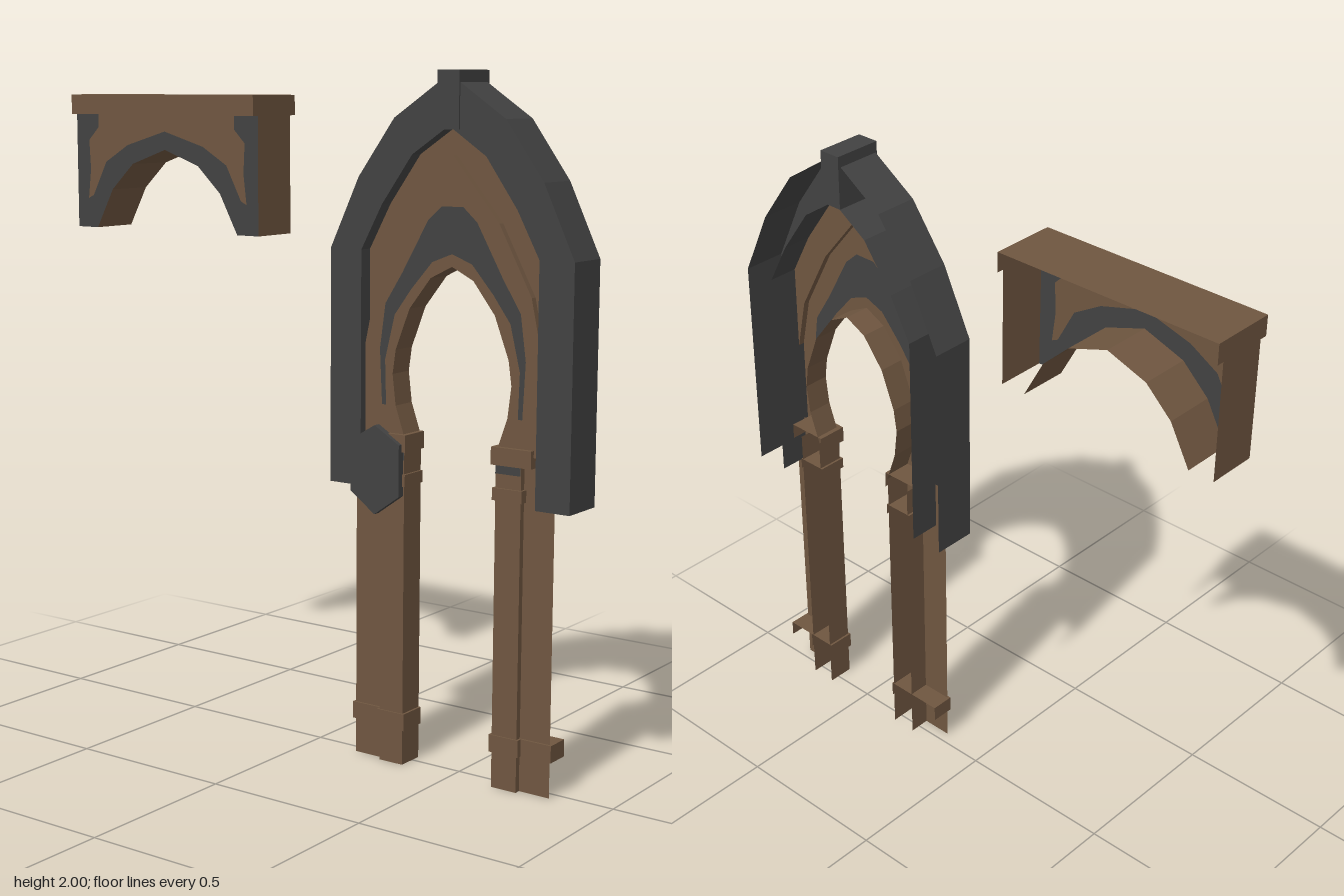
import * as THREE from 'three';

const wood = new THREE.MeshStandardMaterial({ color: 0x6f5640, side: THREE.DoubleSide });
wood.name = 'brown wood';
const iron = new THREE.MeshStandardMaterial({ color: 0x424242, side: THREE.DoubleSide });
iron.name = 'dark grey trim';

const toV = (pts) => pts.map(([x, y]) => new THREE.Vector2(x, y));
// Completes a left half profile (bottom to apex) with its mirror image
const mirror = (half) => {
  const right = half.map(([x, y]) => [-x, y]).reverse();
  return [...half, ...(half[half.length - 1][0] === 0 ? right.slice(1) : right)];
};

function add(group, name, geometry, material) {
  const mesh = new THREE.Mesh(geometry, material);
  mesh.name = name;
  group.add(mesh);
  return mesh;
}

// Flat sheet facing +z, with optional cut-outs
function sheet(group, name, pts, z, material, holes = []) {
  const shape = new THREE.Shape(toV(pts));
  for (const h of holes) shape.holes.push(new THREE.Path(toV(h)));
  return add(group, name, new THREE.ShapeGeometry(shape).translate(0, 0, z), material);
}

// Faceted strip: sweeps a path between two limits of the remaining axis
function strip(group, name, path, from, to, material, upright = false) {
  const at = ([a, b], t) => (upright ? [a, t, b] : [a, b, t]);
  const pos = [];
  for (let i = 0; i < path.length - 1; i++) {
    const [p, q] = [path[i], path[i + 1]];
    const quad = [at(p, from), at(q, from), at(q, to), at(p, to)];
    for (const k of [0, 1, 2, 0, 2, 3]) pos.push(...quad[k]);
  }
  const geo = new THREE.BufferGeometry();
  geo.setAttribute('position', new THREE.Float32BufferAttribute(pos, 3));
  geo.computeVertexNormals();
  return add(group, name, geo, material);
}

// Three-sided band, open at the back, closed by a shelf on top
function band(group, name, x0, x1, y0, y1, front, back) {
  strip(group, name, [[x0, back], [x0, front], [x1, front], [x1, back]], y1, y0, wood, true);
  strip(group, name + 'Shelf', [[x0, y1], [x1, y1]], front, back, wood);
}

function createLintel() {
  const g = new THREE.Group();
  g.name = 'lintel';
  g.position.x = -0.53;
  const Z = 0.077;
  // Cap, open at the back and below
  band(g, 'lintelCap', -0.36, 0.36, 1.87, 1.93, 0.1, -0.1);
  strip(g, 'capLip', [[-0.36, 1.87], [0.36, 1.87]], 0.1, Z, wood);
  // Front board: dark edge around a wooden field
  const arch = mirror([[-0.28, 1.52], [-0.215, 1.64], [-0.13, 1.72], [0, 1.765]]);
  const field = mirror([[-0.27, 1.872], [-0.27, 1.83], [-0.31, 1.79], [-0.305, 1.7], [-0.316, 1.61],
    [-0.295, 1.62], [-0.24, 1.724], [-0.15, 1.777], [0, 1.82]]);
  sheet(g, 'lintelEdge', [[-0.36, 1.875], [-0.36, 1.52], ...arch, [0.36, 1.52], [0.36, 1.875]], Z, iron, [field]);
  sheet(g, 'lintelField', field, Z, wood);
  // Underside of the arch and end walls
  strip(g, 'lintelSoffit', arch, Z, -Z, wood);
  for (const s of [-1, 1]) {
    strip(g, 'lintelEnd', [[s * 0.36, 1.52], [s * 0.36, 1.87]], Z, -Z, wood);
  }
  return g;
}

function createFrame(g) {
  // Pointed dark surround: a channel open at the back and at the foot
  const outer = mirror([[-0.397, 0.82], [-0.397, 1.5], [-0.3, 1.705], [-0.18, 1.87], [-0.03, 1.97]]);
  const inner = mirror([[-0.29, 0.82], [-0.29, 1.5], [-0.22, 1.63], [-0.12, 1.77], [0, 1.85]]);
  sheet(g, 'frameFace', [...outer, ...[...inner].reverse()], 0.073, iron);
  strip(g, 'frameOuterWall', outer, 0.073, -0.065, iron);
  strip(g, 'frameInnerWall', inner, 0.073, -0.065, iron);
  // Keystone
  add(g, 'keystone', new THREE.BoxGeometry(0.07, 0.16, 0.152), iron).position.set(0, 1.92, 0.002);
}

function createArchPanels(g) {
  // Recessed outer panel
  const rim = mirror([[-0.29, 1.235], [-0.29, 1.5], [-0.22, 1.63], [-0.12, 1.77], [0, 1.85]]);
  const step = mirror([[-0.29, 1.235], [-0.255, 1.395], [-0.15, 1.59], [0, 1.77]]);
  sheet(g, 'outerPanel', [...rim, ...step.slice(1, -1).reverse()], 0.03, wood);
  strip(g, 'panelStep', step, 0.05, 0.03, wood);
  // Horseshoe ring with a dark crescent set into it
  const hole = mirror([[-0.15, 0.96], [-0.185, 1.06], [-0.196, 1.15], [-0.186, 1.22], [-0.14, 1.34],
    [-0.07, 1.43], [0, 1.465]]);
  const crescent = [
    ...mirror([[-0.232, 1.06], [-0.24, 1.22], [-0.222, 1.35], [-0.165, 1.44], [-0.08, 1.59], [-0.035, 1.63]]),
    ...mirror([[-0.218, 1.06], [-0.222, 1.19], [-0.19, 1.32], [-0.135, 1.395], [-0.065, 1.475], [0, 1.5]]).reverse(),
  ];
  sheet(g, 'horseshoeRing', [[-0.29, 0.96], ...step, [0.29, 0.96], ...[...hole].reverse()], 0.05, wood, [crescent]);
  sheet(g, 'darkCrescent', crescent, 0.05, iron);
  strip(g, 'horseshoeSoffit', hole, 0.05, -0.032, wood);
}

function createLeg(s) {
  const g = new THREE.Group();
  g.name = s < 0 ? 'rightLeg' : 'leftLeg';
  const [a, b, c] = [0.152, 0.233, 0.33].map((x) => x * s);
  const back = -0.032;
  // Inner shaft, open at the back, and a set-back outer board
  strip(g, 'shaft', [[a, back], [a, 0.053], [b, 0.053], [b, back]], 0, 0.95, wood, true);
  strip(g, 'outerBoard', [[b, 0.035], [c, 0.035]], 0, 0.97, wood, true);
  // Foot band, neck band and capital
  band(g, 'footBandInner', s * 0.145, s * 0.24, 0.105, 0.155, 0.058, back);
  band(g, 'footBandOuter', s * 0.233, s * 0.337, 0.105, 0.155, 0.042, back);
  band(g, 'neckBand', s * 0.145, s * 0.24, 0.83, 0.865, 0.06, back);
  band(g, 'capital', s * 0.142, s * 0.27, 0.93, 0.98, 0.064, back);
  // Dark line below the capital
  sheet(g, 'neckLine', [[a, 0.905], [b, 0.905], [b, 0.93], [a, 0.93]], 0.055, iron);
  return g;
}

export function createModel() {
  const model = new THREE.Group();
  model.name = 'archAndLintel';
  model.add(createLintel());

  const doorway = new THREE.Group();
  doorway.name = 'doorway';
  doorway.position.x = 0.488;
  createFrame(doorway);
  createArchPanels(doorway);
  for (const s of [-1, 1]) doorway.add(createLeg(s));

  // Hexagonal boss at the foot of the frame on one side
  const hex = new THREE.Shape(toV([[0, 0.13], [-0.084, 0.08], [-0.084, -0.07], [0, -0.13], [0.084, -0.07], [0.084, 0.08]]));
  add(doorway, 'hexBoss', new THREE.ExtrudeGeometry(hex, { depth: 0.022, bevelEnabled: false }), iron)
    .position.set(-0.238, 0.872, 0.056);
  model.add(doorway);
  return model;
}
